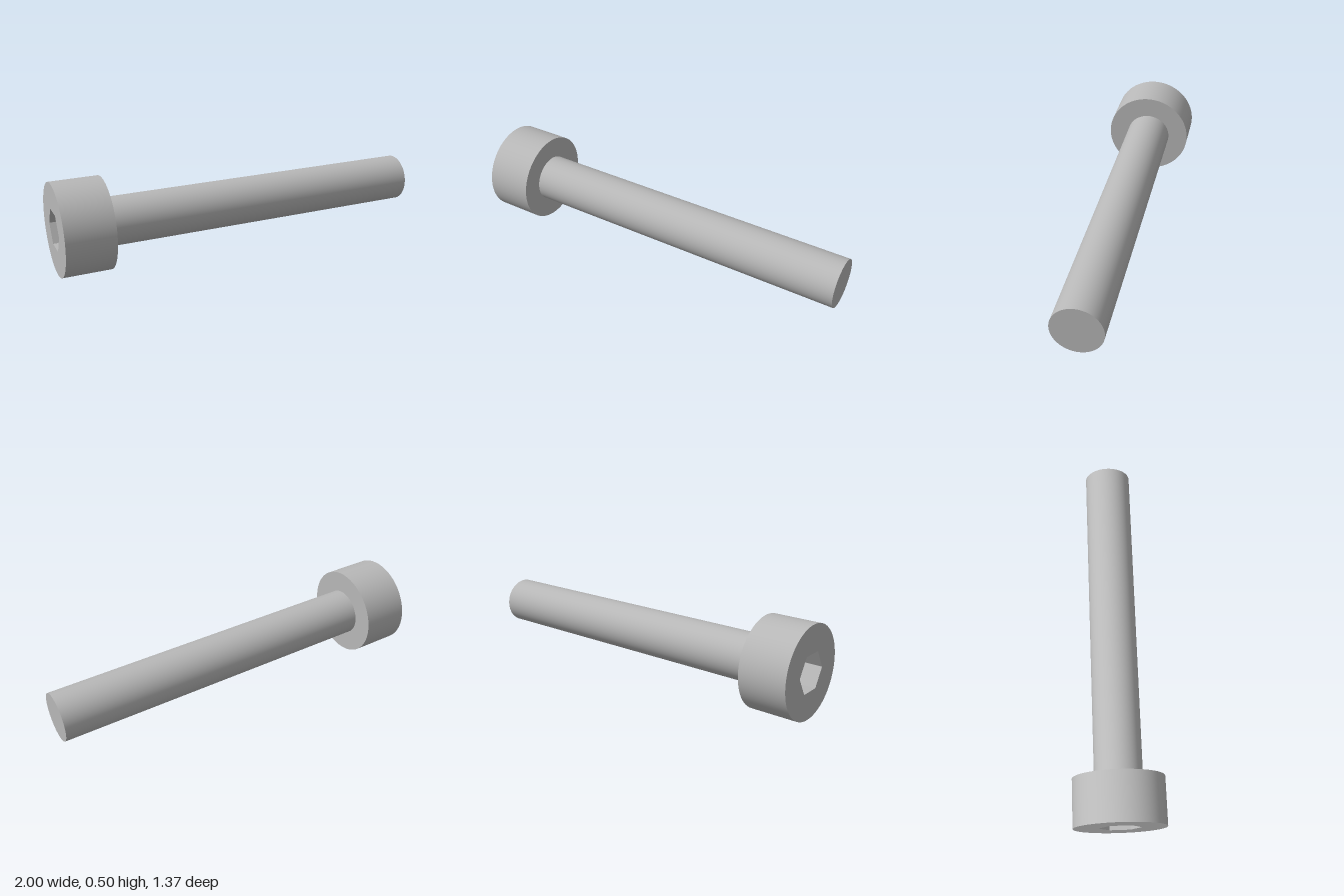
import * as THREE from 'three';

const SEGMENTS = 96;
const HEAD_RADIUS = 0.2483, HEAD_HEIGHT = 0.261;
const SHANK_RADIUS = 0.1307, SHANK_LENGTH = 1.829;
const SOCKET_RADIUS = 0.1132, SOCKET_DEPTH = 0.131;

export function createModel() {
  const steel = new THREE.MeshStandardMaterial({ color: 0xb8b8b8 });
  steel.name = 'steel grey';

  // The screw is built along z, with the outer face of the head at z = 0
  const screw = new THREE.Group();
  screw.name = 'socketHeadScrew';
  const add = (name, geometry, z) => {
    const mesh = new THREE.Mesh(geometry, steel);
    mesh.name = name;
    mesh.position.z = z;
    screw.add(mesh);
  };
  const tube = (radius, length, sides, start = 0) =>
    new THREE.CylinderGeometry(radius, radius, length, sides, 1, true, start).rotateX(Math.PI / 2);

  // Head: side wall, underside ring and outer face with a hexagonal opening
  add('headSide', tube(HEAD_RADIUS, HEAD_HEIGHT, SEGMENTS), HEAD_HEIGHT / 2);
  add('headUnderside', new THREE.RingGeometry(SHANK_RADIUS, HEAD_RADIUS, SEGMENTS), HEAD_HEIGHT);

  const corners = Array.from({ length: 6 }, (_, i) => new THREE.Vector2(
    SOCKET_RADIUS * Math.cos(i * Math.PI / 3), SOCKET_RADIUS * Math.sin(i * Math.PI / 3)));
  const face = new THREE.Shape().absarc(0, 0, HEAD_RADIUS, 0, Math.PI * 2);
  face.holes.push(new THREE.Path(corners));
  add('headFace', new THREE.ShapeGeometry(face, SEGMENTS / 2).rotateY(Math.PI), 0);

  // Hex socket: walls mirrored so that they face inward, and a flat floor
  const walls = tube(SOCKET_RADIUS, SOCKET_DEPTH, 6, Math.PI / 6).scale(-1, 1, 1).toNonIndexed();
  walls.computeVertexNormals();
  add('socketWalls', walls, SOCKET_DEPTH / 2);
  add('socketFloor', new THREE.CircleGeometry(SOCKET_RADIUS, 6).rotateY(Math.PI), SOCKET_DEPTH);

  // Plain shank with a flat tip
  add('shank', tube(SHANK_RADIUS, SHANK_LENGTH, SEGMENTS), HEAD_HEIGHT + SHANK_LENGTH / 2);
  add('shankTip', new THREE.CircleGeometry(SHANK_RADIUS, SEGMENTS), HEAD_HEIGHT + SHANK_LENGTH);

  // Lay the screw on its head rim, turned 30 degrees from the x axis
  screw.rotation.y = Math.PI / 3;
  screw.position.set(-0.876, HEAD_RADIUS, -0.472);

  const model = new THREE.Group();
  model.name = 'screwModel';
  model.add(screw);
  return model;
}
